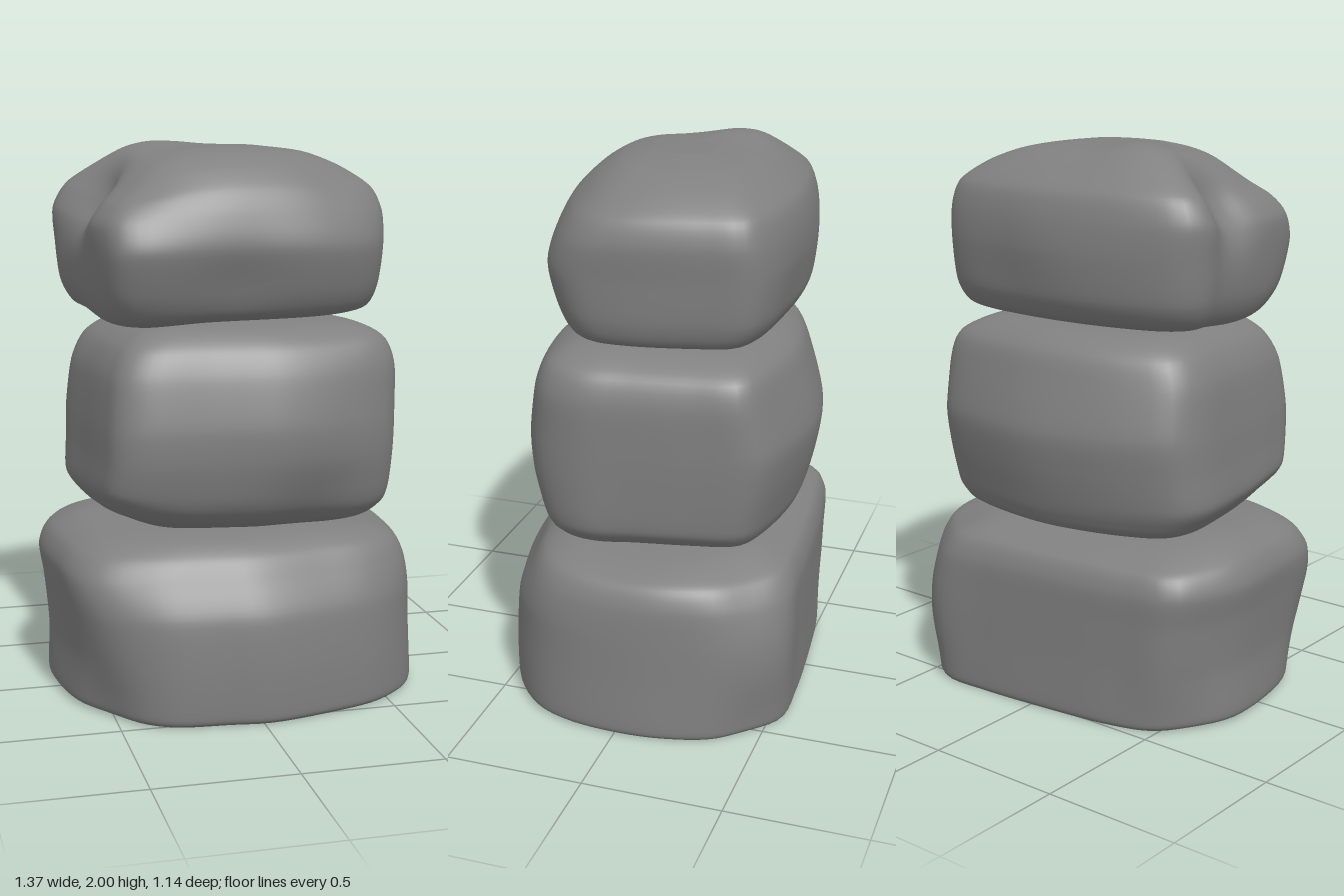
import * as THREE from 'three';

const SEG = 96, ROWS = 56;

// Lofts a boulder: a plan outline [x, z] is fitted into the bounds of each level
// [y, xMin, xMax, zMin, zMax]; dents [x, y, z, radius, dx, dy, dz] push the surface locally.
function makeStone(name, outline, levels, dents, flatBase) {
  const plan = new THREE.CatmullRomCurve3(
    outline.map(([x, z]) => new THREE.Vector3(x, 0, z)), true, 'centripetal').getSpacedPoints(SEG).slice(0, SEG);
  const box = new THREE.Box3().setFromPoints(plan);
  const size = box.getSize(new THREE.Vector3());
  const unit = plan.map(p => [(p.x - box.min.x) / size.x, (p.z - box.min.z) / size.z]);

  const low = new THREE.CatmullRomCurve3(levels.map(l => new THREE.Vector3(l[1], l[0], l[3])), false, 'catmullrom', 0.4);
  const high = new THREE.CatmullRomCurve3(levels.map(l => new THREE.Vector3(l[2], l[0], l[4])), false, 'catmullrom', 0.4);

  const pos = [], index = [];
  const push = (x, y, z) => {
    const p = [x, y, z];
    for (const [cx, cy, cz, r, dx, dy, dz] of dents) {
      const w = Math.exp(-((x - cx) ** 2 + (y - cy) ** 2 + (z - cz) ** 2) / (r * r));
      p[0] += dx * w; p[1] += dy * w; p[2] += dz * w;
    }
    if (flatBase) p[1] = Math.max(0, p[1]);
    pos.push(...p);
  };

  for (let j = 0; j <= ROWS; j++) {
    const a = low.getPoint(j / ROWS), b = high.getPoint(j / ROWS);
    for (const [u, v] of unit) push(a.x + (b.x - a.x) * u, a.y, a.z + (b.z - a.z) * v);
  }
  // the outline runs from +z toward +x seen from above, so sides wind outward
  for (let j = 0; j < ROWS; j++) for (let i = 0; i < SEG; i++) {
    const k = (i + 1) % SEG, a = j * SEG + i, b = j * SEG + k;
    index.push(a, b, b + SEG, a, b + SEG, a + SEG);
  }
  // caps
  const centre = l => [(l[1] + l[2]) / 2, l[0], (l[3] + l[4]) / 2];
  const topC = pos.length / 3;
  push(...centre(levels[levels.length - 1]));
  for (let i = 0; i < SEG; i++) index.push(ROWS * SEG + i, ROWS * SEG + (i + 1) % SEG, topC);
  const ring = pos.length / 3;
  if (flatBase) pos.push(...pos.slice(0, SEG * 3)); // own vertices keep the base rim sharp
  const start = flatBase ? ring : 0, baseC = pos.length / 3;
  push(...centre(levels[0]));
  for (let i = 0; i < SEG; i++) index.push(start + (i + 1) % SEG, start + i, baseC);

  const geo = new THREE.BufferGeometry();
  geo.setAttribute('position', new THREE.Float32BufferAttribute(pos, 3));
  geo.setIndex(index);
  geo.computeVertexNormals();
  const mesh = new THREE.Mesh(geo, new THREE.MeshStandardMaterial({ color: 0x808080 }));
  mesh.name = name;
  return mesh;
}

export function createModel() {
  const group = new THREE.Group();
  group.name = 'stoneStack';

  // broad base stone with a flat underside; corners tuck in slightly toward the ground
  group.add(makeStone('bottomStone',
    [[0, 0.57], [0.25, 0.52], [0.45, 0.45], [0.6, 0.32], [0.66, 0.18], [0.68, -0.05], [0.66, -0.22], [0.6, -0.42],
      [0.45, -0.575], [0.2, -0.57], [-0.15, -0.54], [-0.38, -0.51], [-0.57, -0.46], [-0.65, -0.32], [-0.69, -0.17],
      [-0.67, 0.1], [-0.63, 0.3], [-0.54, 0.44], [-0.37, 0.53], [-0.15, 0.555]],
    [[0, -0.63, 0.67, -0.56, 0.55], [0.03, -0.66, 0.685, -0.57, 0.57], [0.2, -0.655, 0.675, -0.57, 0.575],
      [0.38, -0.67, 0.665, -0.57, 0.56], [0.5, -0.685, 0.65, -0.565, 0.5], [0.575, -0.65, 0.61, -0.53, 0.45],
      [0.62, -0.56, 0.5, -0.43, 0.38], [0.64, -0.42, 0.35, -0.33, 0.27], [0.65, -0.15, 0.12, -0.1, 0.1]],
    [[-0.6, 0, 0.42, 0.19, 0.05, 0, -0.03], [-0.58, 0, -0.46, 0.16, 0.025, 0, 0.025],
      [0.52, 0, -0.5, 0.18, -0.03, 0, 0.03], [0.48, 0.58, -0.47, 0.17, -0.03, -0.01, 0.03],
      [-0.58, 0.5, 0.36, 0.16, -0.02, 0, 0.02], [0.53, 0.54, 0.3, 0.18, 0.02, 0.01, 0.02],
      [0.5, 0.6, 0.1, 0.25, 0, -0.015, 0], [-0.5, 0.6, -0.1, 0.2, 0, 0.02, 0]],
    true));

  // tall, boxy middle stone
  group.add(makeStone('middleStone',
    [[0.1, 0.47], [0.35, 0.42], [0.53, 0.32], [0.58, 0.18], [0.56, 0], [0.52, -0.25], [0.47, -0.44], [0.4, -0.49],
      [0.05, -0.555], [-0.18, -0.53], [-0.4, -0.46], [-0.53, -0.38], [-0.57, -0.27], [-0.55, 0], [-0.52, 0.25],
      [-0.49, 0.37], [-0.41, 0.42], [-0.15, 0.44]],
    [[0.61, -0.2, 0.2, -0.15, 0.12], [0.63, -0.36, 0.38, -0.33, 0.25], [0.67, -0.48, 0.5, -0.45, 0.35],
      [0.72, -0.535, 0.555, -0.485, 0.405], [0.78, -0.57, 0.57, -0.505, 0.435], [0.9, -0.565, 0.577, -0.535, 0.465],
      [1.03, -0.56, 0.58, -0.55, 0.47], [1.2, -0.54, 0.577, -0.505, 0.435], [1.3, -0.49, 0.535, -0.465, 0.385],
      [1.36, -0.39, 0.41, -0.37, 0.3], [1.385, -0.2, 0.2, -0.15, 0.15]],
    [[0.22, 0.69, 0.41, 0.18, 0, 0, -0.035], [0.45, 0.64, 0.3, 0.2, 0, -0.02, 0],
      [-0.45, 0.66, 0.3, 0.2, 0, 0.03, 0], [0.43, 1.31, -0.38, 0.15, 0.01, 0, -0.01],
      [0.47, 1.3, 0.25, 0.16, 0.01, 0.01, 0.015]],
    false));

  // capstone with a high back ridge and a notch in its side
  group.add(makeStone('topStone',
    [[0, 0.41], [0.3, 0.36], [0.47, 0.29], [0.54, 0.2], [0.55, 0.05], [0.5, -0.25], [0.45, -0.41], [0.36, -0.46],
      [0.1, -0.5], [-0.1, -0.49], [-0.4, -0.43], [-0.55, -0.36], [-0.6, -0.28], [-0.58, -0.15], [-0.55, 0.1],
      [-0.52, 0.3], [-0.48, 0.39], [-0.4, 0.42], [-0.2, 0.42]],
    [[1.37, -0.2, 0.2, -0.15, 0.12], [1.38, -0.4, 0.4, -0.33, 0.23], [1.41, -0.52, 0.5, -0.43, 0.32],
      [1.49, -0.57, 0.535, -0.485, 0.375], [1.64, -0.59, 0.547, -0.505, 0.42], [1.76, -0.6, 0.552, -0.495, 0.385],
      [1.85, -0.56, 0.52, -0.465, 0.335], [1.92, -0.47, 0.42, -0.38, 0.26], [1.965, -0.36, 0.29, -0.29, 0.18],
      [1.985, -0.18, 0.12, -0.16, 0.08]],
    [[-0.53, 1.84, -0.07, 0.15, 0.09, -0.06, 0.02], [-0.42, 1.88, 0.22, 0.2, 0.02, -0.06, -0.01],
      [-0.24, 1.97, -0.2, 0.14, 0, 0.024, 0], [0.4, 1.88, 0.18, 0.18, -0.015, -0.015, -0.015],
      [-0.05, 1.52, 0.4, 0.18, 0, 0, -0.03], [-0.45, 1.38, 0.1, 0.22, 0, -0.03, 0],
      [0.1, 1.52, -0.48, 0.18, 0, 0, 0.02]],
    false));

  return group;
}
